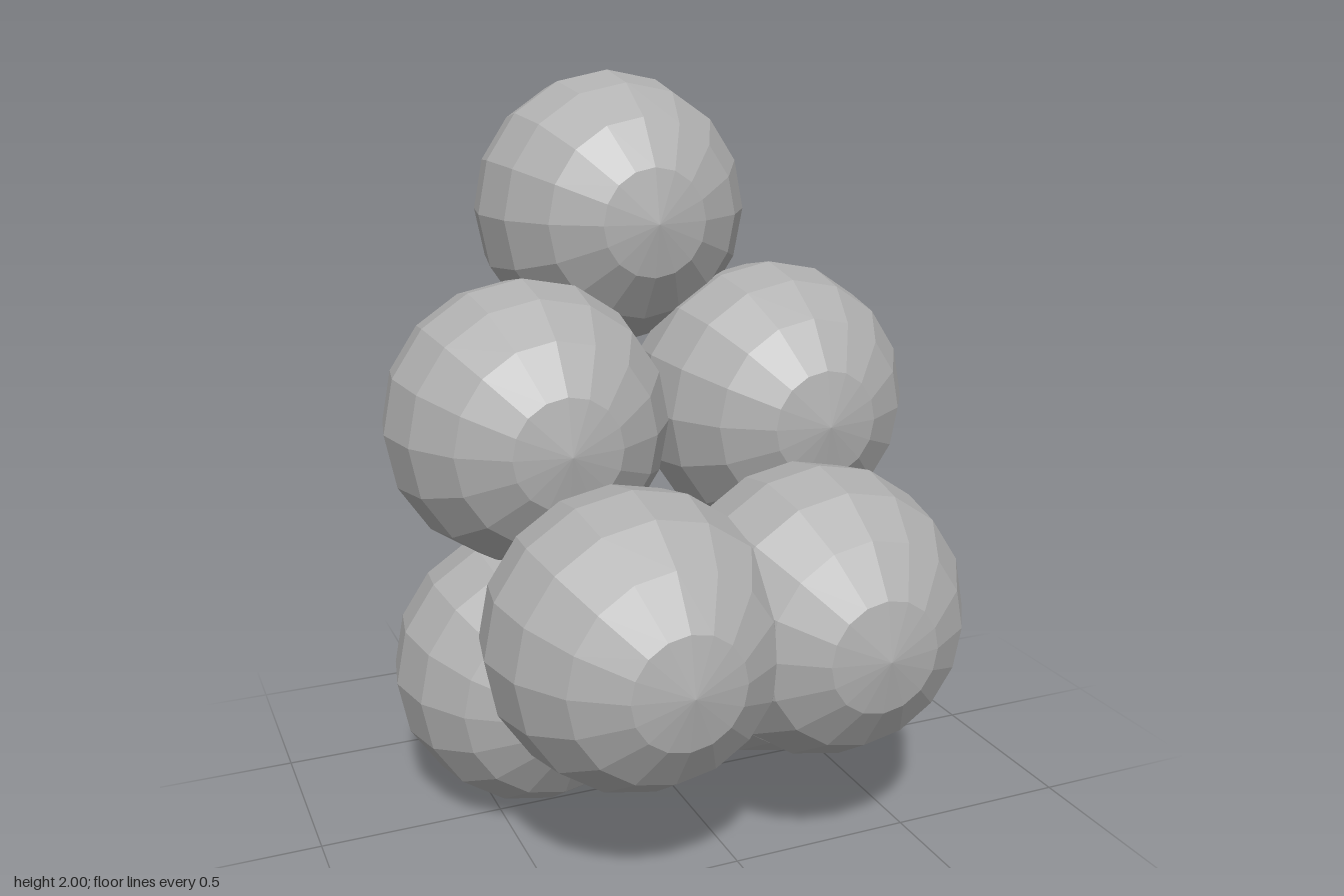
import * as THREE from 'three';

export function createModel() {
  const model = new THREE.Group();
  model.name = 'sphereCluster';

  const grey = new THREE.MeshStandardMaterial({ color: 0xb0b0b0, flatShading: true });
  grey.name = 'grey';

  // One faceted ball, its poles pointing along z
  const ball = new THREE.SphereGeometry(0.387, 16, 8);
  ball.rotateX(Math.PI / 2);

  const addBall = (name, x, y, z) => {
    const mesh = new THREE.Mesh(ball, grey);
    mesh.name = name;
    mesh.position.set(x, y, z);
    model.add(mesh);
  };

  // Single ball at the top, set back
  addBall('topBall', 0, 1.613, -0.414);

  // Mirrored pairs below it
  for (const [side, s] of [['left', 1], ['right', -1]]) {
    addBall(side + 'UpperBall', s * 0.363, 1.095, -0.103);
    addBall(side + 'FrontBall', s * 0.258, 0.652, 0.414);
    addBall(side + 'LowerBall', s * 0.363, 0.387, -0.103);
  }

  return model;
}
